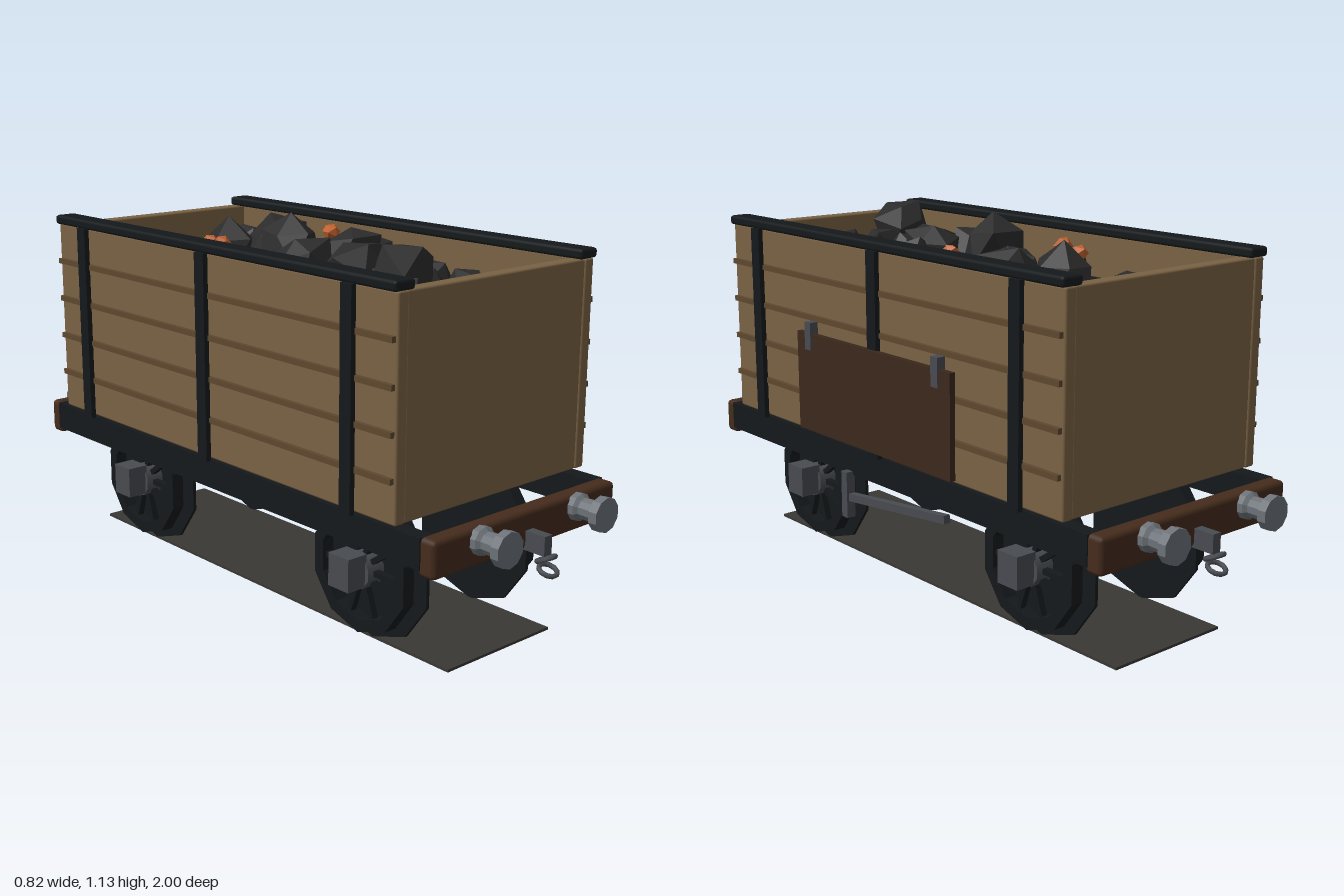
import * as THREE from 'three';
import { RoundedBoxGeometry } from 'three/addons/geometries/RoundedBoxGeometry.js';

const mat = (color, extra = {}) => new THREE.MeshStandardMaterial({ color, ...extra });
const wood = mat(0x7a6244), plank = mat(0x5e482f), darkWood = mat(0x3c281c), beamWood = mat(0x452c1c);
const iron = mat(0x15191b), steel = mat(0x484b50), paleSteel = mat(0x6c7278);
const wheelIron = mat(0x15191b, { flatShading: true });
const coalBlack = mat(0x2b2b2b, { flatShading: true }), ember = mat(0xc0602c, { flatShading: true });

export function createModel() {
  const model = new THREE.Group();
  model.name = 'coalWagon';
  const wagon = new THREE.Group();
  wagon.name = 'wagon';
  wagon.position.x = -0.0075;
  model.add(wagon);

  const add = (name, geometry, material, x, y, z, parent = wagon) => {
    const mesh = new THREE.Mesh(geometry, material);
    mesh.name = name;
    mesh.position.set(x, y, z);
    parent.add(mesh);
    return mesh;
  };
  // Box given by its limits on each axis
  const box = (name, material, [x0, x1], [y0, y1], [z0, z1], bevel = 0) => {
    const s = [x1 - x0, y1 - y0, z1 - z0];
    const geometry = bevel ? new RoundedBoxGeometry(...s, 1, bevel) : new THREE.BoxGeometry(...s);
    return add(name, geometry, material, (x0 + x1) / 2, (y0 + y1) / 2, (z0 + z1) / 2);
  };
  const span = (side, a, b) => (side > 0 ? [a, b] : [-b, -a]);

  // Ground strip
  box('groundStrip', mat(0x3a3834), [-0.207, 0.207], [0, 0.008], [-0.81, 0.81]);

  // Open body: floor, side walls, planking, straps and rails
  box('floor', beamWood, [-0.36, 0.36], [0.445, 0.47], [-0.75, 0.75]);
  for (const s of [-1, 1]) {
    box('sideWall', wood, span(s, 0.342, 0.378), [0.443, 1.048], [-0.773, 0.773], 0.006);
    box('endWall', wood, [-0.345, 0.345], [0.443, 1.048], span(s, 0.725, 0.77), 0.006);
    for (const y of [0.563, 0.685, 0.807, 0.929]) {
      box('plankStrip', plank, span(s, 0.365, 0.391), [y - 0.008, y + 0.008], [-0.765, 0.765]);
    }
    for (const z of [-0.61, 0, 0.61]) {
      box('strap', iron, span(s, 0.387, 0.403), [0.44, 1.05], [z - 0.021, z + 0.021]);
    }
    box('topRail', iron, span(s, 0.32, 0.392), [1.047, 1.076], [-0.775, 0.775], 0.009);
  }

  // Side door with hinges
  box('sideDoor', darkWood, [0.395, 0.413], [0.46, 0.765], [-0.367, 0.367]);
  for (const z of [-0.305, 0.305]) {
    box('doorHinge', steel, [0.39, 0.418], [0.715, 0.8], [z - 0.015, z + 0.015]);
  }

  // Underframe
  for (const s of [-1, 1]) {
    box('soleBar', iron, span(s, 0.32, 0.367), [0.345, 0.432], [-0.85, 0.85]);
    box('bufferBeam', beamWood, [-0.365, 0.365], [0.327, 0.434], span(s, 0.84, 0.897), 0.014);
  }

  // Brake lever on one side
  box('brakeHandle', steel, [0.36, 0.39], [0.21, 0.355], [0.157, 0.185]);
  const rod = add('brakeRod', new THREE.BoxGeometry(0.022, 0.024, 0.47), steel, 0.372, 0.3, -0.068);
  rod.rotation.x = 0.11;

  // Buffers and couplings at both ends
  const bufferProfile = [[0, 0], [0.04, 0], [0.04, 0.02], [0.03, 0.03], [0.032, 0.075], [0.05, 0.08], [0.05, 0.106], [0, 0.106]]
    .map(([r, h]) => new THREE.Vector2(r, h));
  const bufferGeometry = new THREE.LatheGeometry(bufferProfile, 10);
  const bufferSteel = mat(0x6c7278, { flatShading: true });
  for (const s of [-1, 1]) {
    for (const x of [-0.195, 0.195]) {
      add('buffer', bufferGeometry, bufferSteel, x, 0.4, s * 0.894).rotation.x = s * Math.PI / 2;
    }
    box('couplingHook', steel, [-0.015, 0.015], [0.325, 0.38], span(s, 0.89, 0.962));
    for (const [y, z, tilt] of [[0.315, 0.957, 1.15], [0.285, 0.965, 1.95]]) {
      add('couplingLink', new THREE.TorusGeometry(0.026, 0.007, 6, 10), steel, 0, y, s * z).rotation.x = s * tilt;
    }
  }

  // Wheelsets: axle, flange disc, spoked wheel, hub and axle box
  const around = (geometry) => geometry.rotateZ(Math.PI / 2);
  const disc = (r, w, n = 10) => around(new THREE.CylinderGeometry(r, r, w, n).rotateY(Math.PI / 2));
  const tyreProfile = [[0.15, -0.02], [0.186, -0.02], [0.186, 0.02], [0.15, 0.02], [0.15, -0.02]]
    .map(([r, h]) => new THREE.Vector2(r, h));
  const tyre = around(new THREE.LatheGeometry(tyreProfile, 10).rotateY(Math.PI / 2));
  const spoke = new THREE.BoxGeometry(0.02, 0.12, 0.016).translate(0, 0.1, 0);
  for (const z of [-0.52, 0.52]) {
    const set = new THREE.Group();
    set.name = 'wheelset';
    set.position.set(0, 0.222, z);
    wagon.add(set);
    add('axle', disc(0.021, 0.48, 8), paleSteel, 0, 0, 0, set);
    for (const s of [-1, 1]) {
      add('wheelFlange', disc(0.217, 0.011), wheelIron, s * 0.203, 0, 0, set);
      add('wheelTyre', tyre, wheelIron, s * 0.247, 0, 0, set);
      add('wheelHub', disc(0.055, 0.06), steel, s * 0.248, 0, 0, set);
      for (let i = 0; i < 10; i++) {
        add('wheelSpoke', spoke, iron, s * 0.247, 0, 0, set).rotation.x = (i + 0.5) * Math.PI / 5;
      }
      add('axleBox', new THREE.BoxGeometry(0.068, 0.096, 0.08), steel, s * 0.306, 0.01, 0, set);
    }
  }

  // Coal bed and lumps
  box('coalBed', mat(0x1c1c18), [-0.345, 0.345], [0.88, 0.915], [-0.73, 0.73]);
  let seed = 7;
  const random = () => (seed = (seed * 16807) % 2147483647) / 2147483647;
  const lump = (r) => {
    const geometry = new THREE.IcosahedronGeometry(r, 0);
    const p = geometry.attributes.position;
    const moved = {};
    for (let i = 0; i < p.count; i++) {
      const key = [p.getX(i), p.getY(i), p.getZ(i)].map((v) => Math.round(v * 1e4)).join();
      const k = (moved[key] ??= 0.75 + 0.4 * random());
      p.setXYZ(i, p.getX(i) * k, p.getY(i) * k, p.getZ(i) * k);
    }
    geometry.computeVertexNormals();
    return geometry;
  };
  const lumps = [ // x, y, z, radius
    [-0.07, 0.94, -0.56, 0.09], [0.21, 0.94, -0.53, 0.08], [-0.01, 0.97, -0.36, 0.1], [0.16, 0.97, -0.32, 0.12],
    [-0.17, 0.97, -0.2, 0.08], [0.04, 0.98, -0.21, 0.09], [-0.04, 1.03, -0.02, 0.1], [-0.08, 0.99, 0.08, 0.1],
    [0.09, 1.01, 0.11, 0.09], [0.17, 0.98, 0.11, 0.08], [0.0, 0.98, 0.22, 0.11], [0.13, 0.95, 0.37, 0.08],
    [0.0, 0.96, 0.35, 0.08], [-0.09, 1.03, 0.49, 0.095], [0.01, 0.96, 0.48, 0.09], [-0.18, 0.95, 0.57, 0.1],
    [0.09, 0.95, 0.57, 0.09],
  ];
  for (const [x, y, z, r] of lumps) {
    add('coalLump', lump(r), coalBlack, x, y, z).rotation.set(random() * 6, random() * 6, random() * 6);
  }
  for (const [x, y, z] of [[-0.15, 1.02, -0.275], [-0.18, 1.03, -0.18], [0.2, 1.04, -0.11]]) {
    add('emberLump', lump(0.028), ember, x, y, z);
  }

  return model;
}
